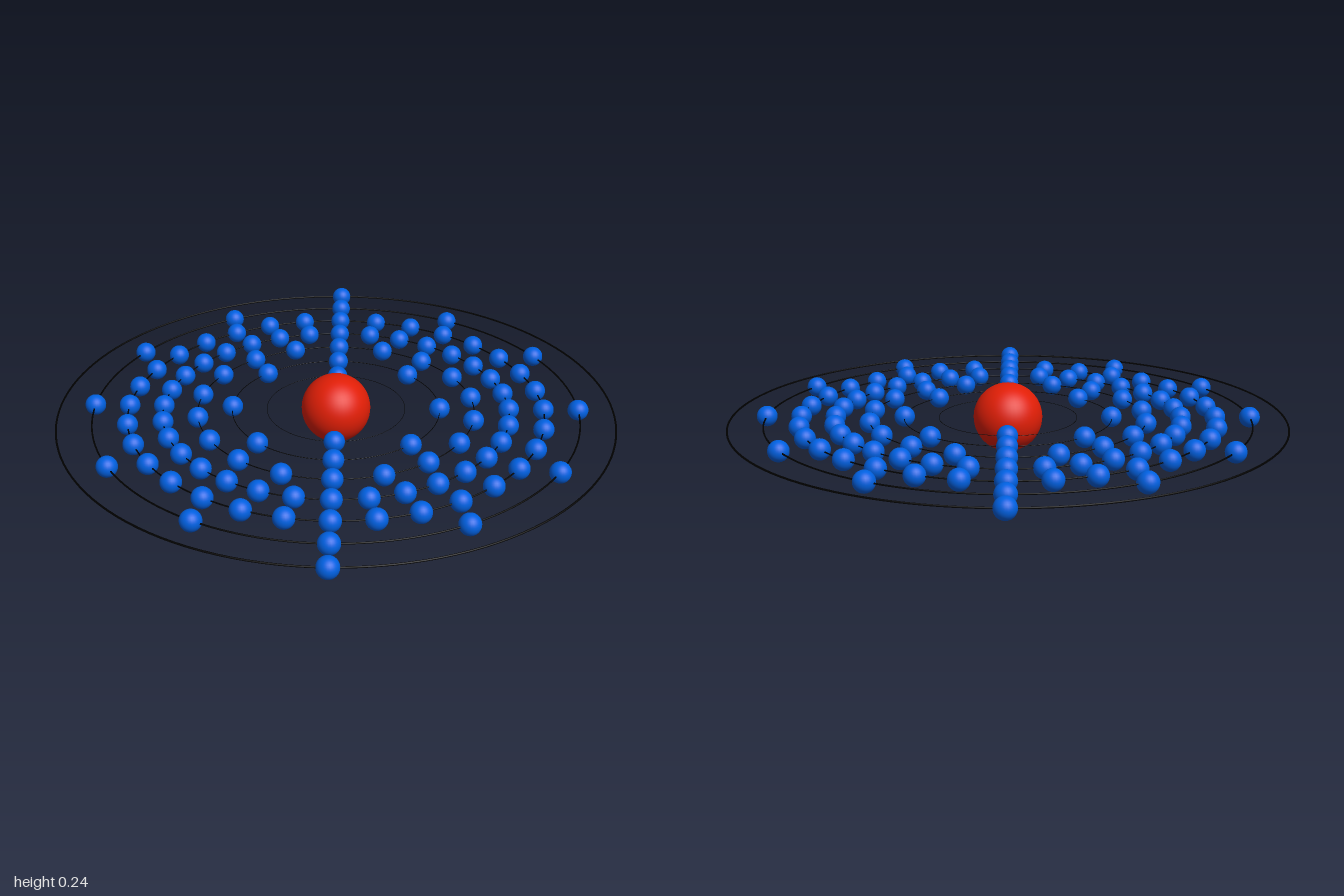
import * as THREE from 'three';

export function createModel() {
  const model = new THREE.Group();
  const red = new THREE.MeshStandardMaterial({ color: 0xe01e06 });
  const blue = new THREE.MeshStandardMaterial({ color: 0x0060e0 });
  const black = new THREE.MeshStandardMaterial({ color: 0x000000 });

  const centreY = 0.12;
  const shellStep = 0.1204;
  const electronCounts = [2, 8, 18, 32, 32, 12, 2];

  // Nucleus
  const nucleus = new THREE.Mesh(new THREE.SphereGeometry(0.12, 48, 32), red);
  nucleus.name = 'nucleus';
  nucleus.position.y = centreY;
  model.add(nucleus);

  // Shells: a thin orbit ring, thicker further out, with evenly spaced electrons
  const electronGeometry = new THREE.SphereGeometry(0.036, 24, 16);
  electronCounts.forEach((count, i) => {
    const radius = shellStep * (i + 2);
    const shell = new THREE.Group();
    shell.name = `shell${i + 1}`;
    shell.position.y = centreY;

    const orbit = new THREE.Mesh(new THREE.TorusGeometry(radius, 0.0035 * radius, 8, 128), black);
    orbit.name = 'orbitRing';
    orbit.rotation.x = Math.PI / 2;
    shell.add(orbit);

    for (let k = 0; k < count; k++) {
      const angle = (k / count) * Math.PI * 2;
      const electron = new THREE.Mesh(electronGeometry, blue);
      electron.name = 'electron';
      electron.position.set(Math.sin(angle) * radius, 0, Math.cos(angle) * radius);
      shell.add(electron);
    }
    model.add(shell);
  });

  return model;
}
